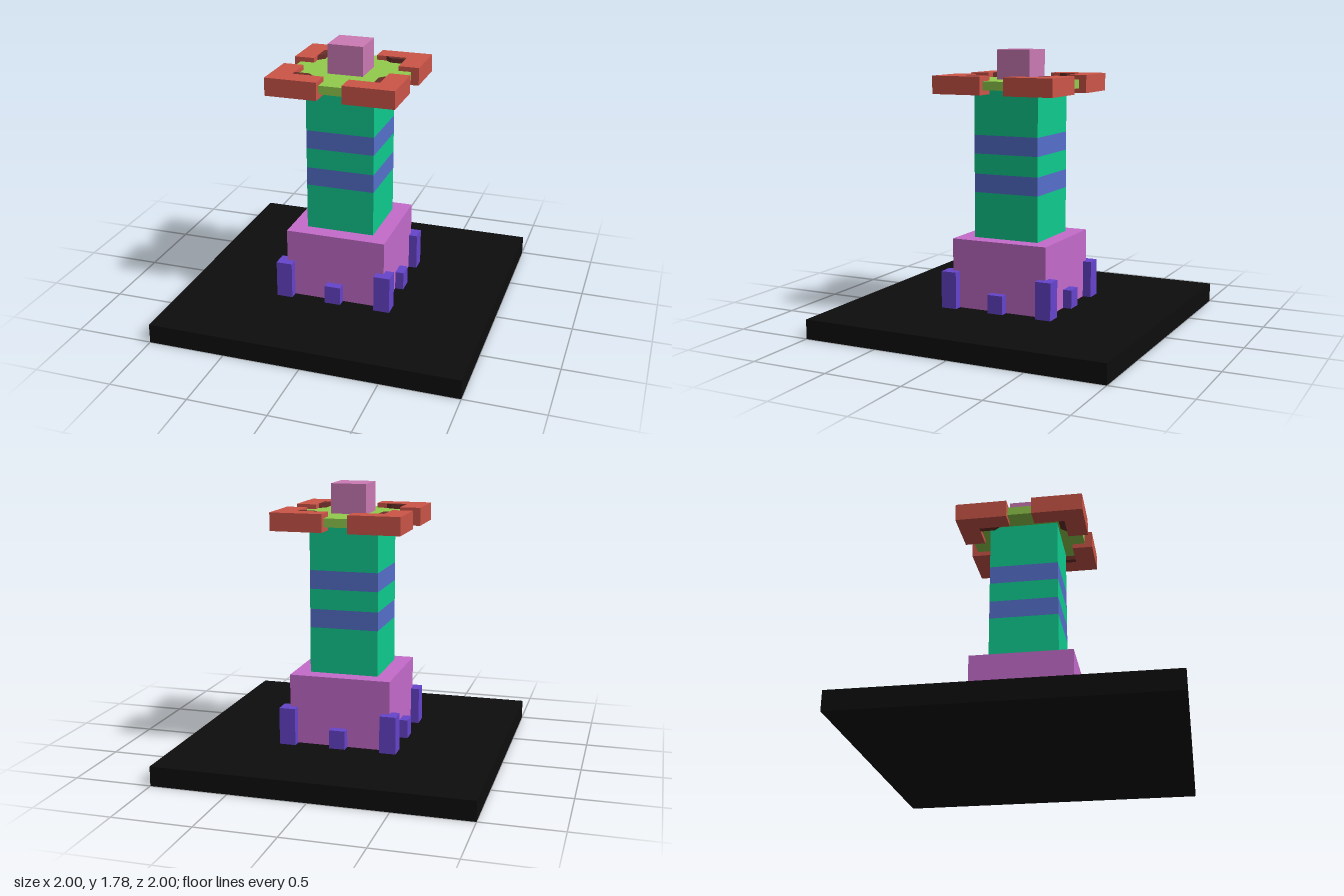
import * as THREE from 'three';

const mat = (color) => new THREE.MeshStandardMaterial({ color, flatShading: true });

export function createModel() {
  const model = new THREE.Group();
  const black = mat(0x0d0d0d), orchid = mat(0xc46bcb), violet = mat(0x6644cc);
  const green = mat(0x0fcb8e), blue = mat(0x5570cc), lime = mat(0x92cc4d);
  const red = mat(0xcc5548), darkRed = mat(0x6b2f28), pink = mat(0xcc7ab5);

  // Square block from y0 to y1
  function block(name, size, y0, y1, material, x = 0, z = 0) {
    const mesh = new THREE.Mesh(new THREE.BoxGeometry(size, y1 - y0, size), material);
    mesh.position.set(x, (y0 + y1) / 2, z);
    mesh.name = name;
    model.add(mesh);
  }

  // Flat outline in x and z, extruded from y0 to y1
  function slab(name, points, y0, y1, material) {
    const shape = new THREE.Shape(points.map(([x, z]) => new THREE.Vector2(x, z)));
    const geo = new THREE.ExtrudeGeometry(shape, { depth: y1 - y0, bevelEnabled: false });
    geo.rotateX(Math.PI / 2).translate(0, y1, 0);
    const mesh = new THREE.Mesh(geo, material);
    mesh.name = name;
    return mesh;
  }

  // Base and pedestal
  block('base', 2, 0, 0.125, black);
  block('pedestal', 0.655, 0.125, 0.575, orchid);

  // Shaft in alternating flush bands
  const levels = [0.575, 0.87, 0.99, 1.12, 1.24, 1.535];
  for (let i = 0; i < 5; i++) {
    const band = i % 2 === 1;
    block(band ? 'shaftBand' : 'shaft', 0.445, levels[i], levels[i + 1], band ? blue : green);
  }

  // Platform and crowning cube
  block('platform', 0.74, 1.535, 1.59, lime);
  block('topCube', 0.23, 1.59, 1.78, pink);

  // Posts round the pedestal: tall at the corners, short mid-side
  for (const x of [-1, 0, 1]) {
    for (const z of [-1, 0, 1]) {
      if (!x && !z) continue;
      const corner = x && z;
      block(corner ? 'cornerPost' : 'sidePost', 0.105, 0.125, corner ? 0.365 : 0.245,
        violet, x * 0.33, z * 0.332);
    }
  }

  // L-shaped corner brackets with a small inner lip
  const bracket = [[-0.41, -0.42], [-0.08, -0.42], [-0.08, -0.287],
    [-0.278, -0.287], [-0.278, -0.085], [-0.41, -0.085]];
  const lip = [[-0.278, -0.287], [-0.24, -0.287], [-0.24, -0.19], [-0.278, -0.15]];
  for (let k = 0; k < 4; k++) {
    const corner = new THREE.Group();
    corner.name = 'cornerBracket';
    corner.add(slab('bracket', bracket, 1.505, 1.62, red),
      slab('bracketLip', lip, 1.505, 1.62, darkRed));
    corner.rotation.y = -k * Math.PI / 2;
    model.add(corner);
  }
  return model;
}
